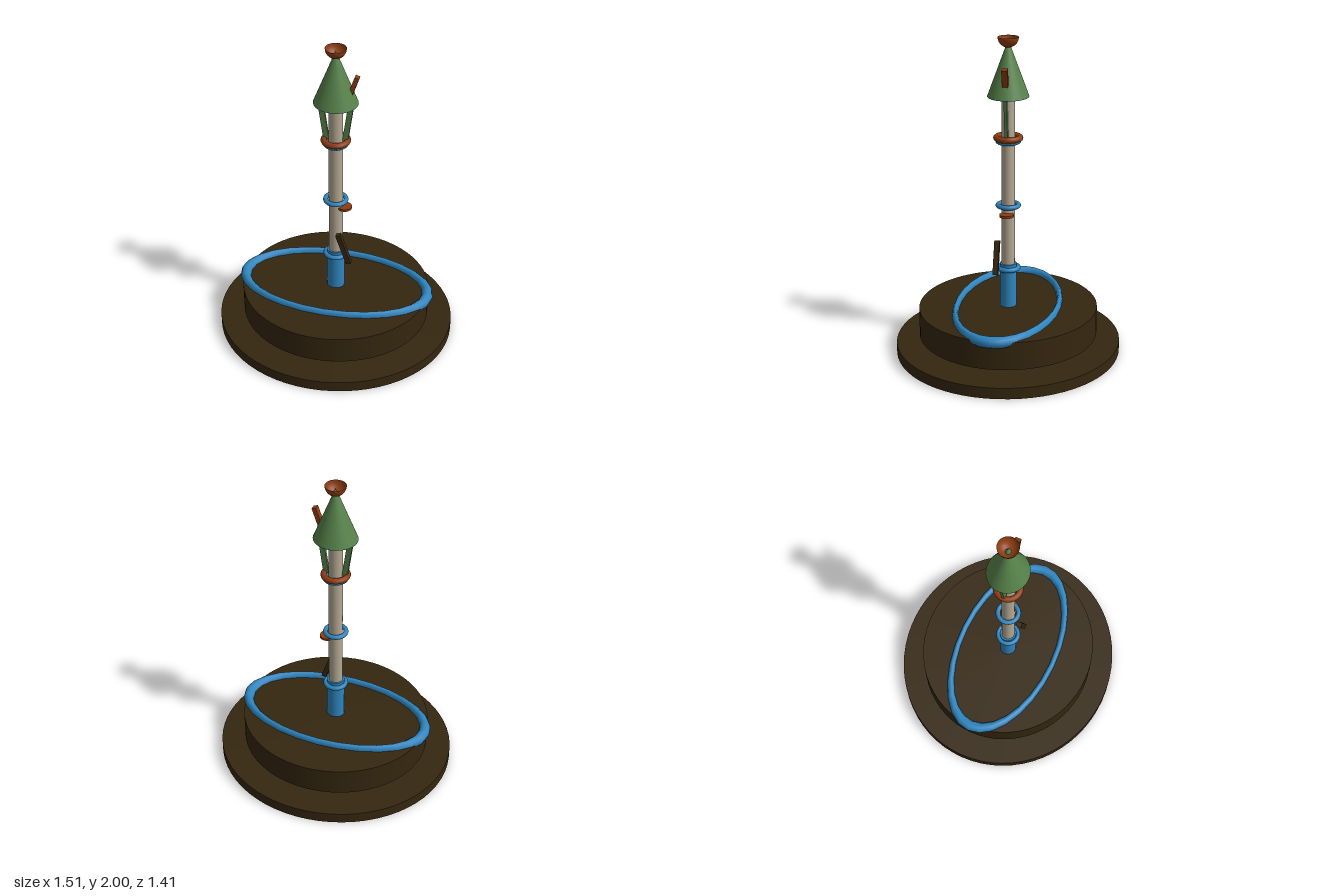
import * as THREE from 'three';

const mat = (name, color, side = THREE.FrontSide) => {
  const m = new THREE.MeshStandardMaterial({ color, side });
  m.name = name;
  return m;
};

export function createModel() {
  const group = new THREE.Group();
  const brown = mat('dark brown', 0x35270f);
  const blue = mat('blue', 0x2f86c0);
  const green = mat('green', 0x56824a);
  const rust = mat('rust', 0x8f3c10, THREE.DoubleSide);
  const stone = mat('stone', 0xb5a993);

  const add = (name, geometry, material, x = 0, y = 0, z = 0, tilt = 0) => {
    const mesh = new THREE.Mesh(geometry, material);
    mesh.name = name;
    mesh.position.set(x, y, z);
    mesh.rotation.z = tilt;
    group.add(mesh);
    return mesh;
  };
  // Upright, slightly oval cylinder between two heights
  const column = (name, material, rx, rz, y0, y1, segments = 32, rTop = 1, open = false) =>
    add(name, new THREE.CylinderGeometry(rTop, 1, y1 - y0, segments, 1, open).scale(rx, 1, rz),
      material, 0, (y0 + y1) / 2);
  // Flat-lying ring, optionally squeezed front to back
  const ring = (name, material, radius, tube, y, squeeze = 1, segments = 28) =>
    add(name, new THREE.TorusGeometry(radius, tube, 10, segments).rotateX(Math.PI / 2).scale(1, 1, squeeze),
      material, 0, y);

  // Stepped base with a large oval hoop
  column('basePlate', brown, 0.755, 0.705, 0, 0.07, 64);
  column('baseDrum', brown, 0.6, 0.56, 0.113, 0.29, 64);
  ring('ovalHoop', blue, 0.6, 0.035, 0.288, 0.53);

  // Shaft and its collars
  column('sleeve', blue, 0.056, 0.052, 0.107, 0.57);
  column('shaft', stone, 0.044, 0.041, 0.5, 1.75);
  [0.54, 0.95, 1.36].forEach((y) => ring('collar', blue, 0.064, 0.015, y));
  ring('lanternCollar', rust, 0.073, 0.019, 1.381);

  // Lever and small round plate on the shaft
  add('lever', new THREE.BoxGeometry(0.032, 0.215, 0.033), brown, 0.066, 0.622, 0.063, 0.33);
  add('sidePlate', new THREE.CylinderGeometry(0.045, 0.045, 0.015, 24), rust, 0.057, 0.9);

  // Struts holding the roof
  for (const s of [-1, 1]) {
    add('strut', new THREE.BoxGeometry(0.034, 0.27, 0.018), green, s * 0.077, 1.515, 0, -s * 0.14);
  }

  // Conical roof, its underside, peg and bowl finial
  column('roof', green, 0.136, 0.127, 1.64, 1.985, 40, 0.001, true);
  column('roofUnderside', blue, 0.135, 0.126, 1.637, 1.642, 40);
  add('roofPeg', new THREE.BoxGeometry(0.028, 0.115, 0.036), rust, 0.111, 1.773, 0, -0.33);
  add('finialBowl', new THREE.SphereGeometry(0.064, 28, 10, 0, Math.PI * 2, Math.PI / 2, Math.PI / 2), rust, 0, 2);

  return group;
}
